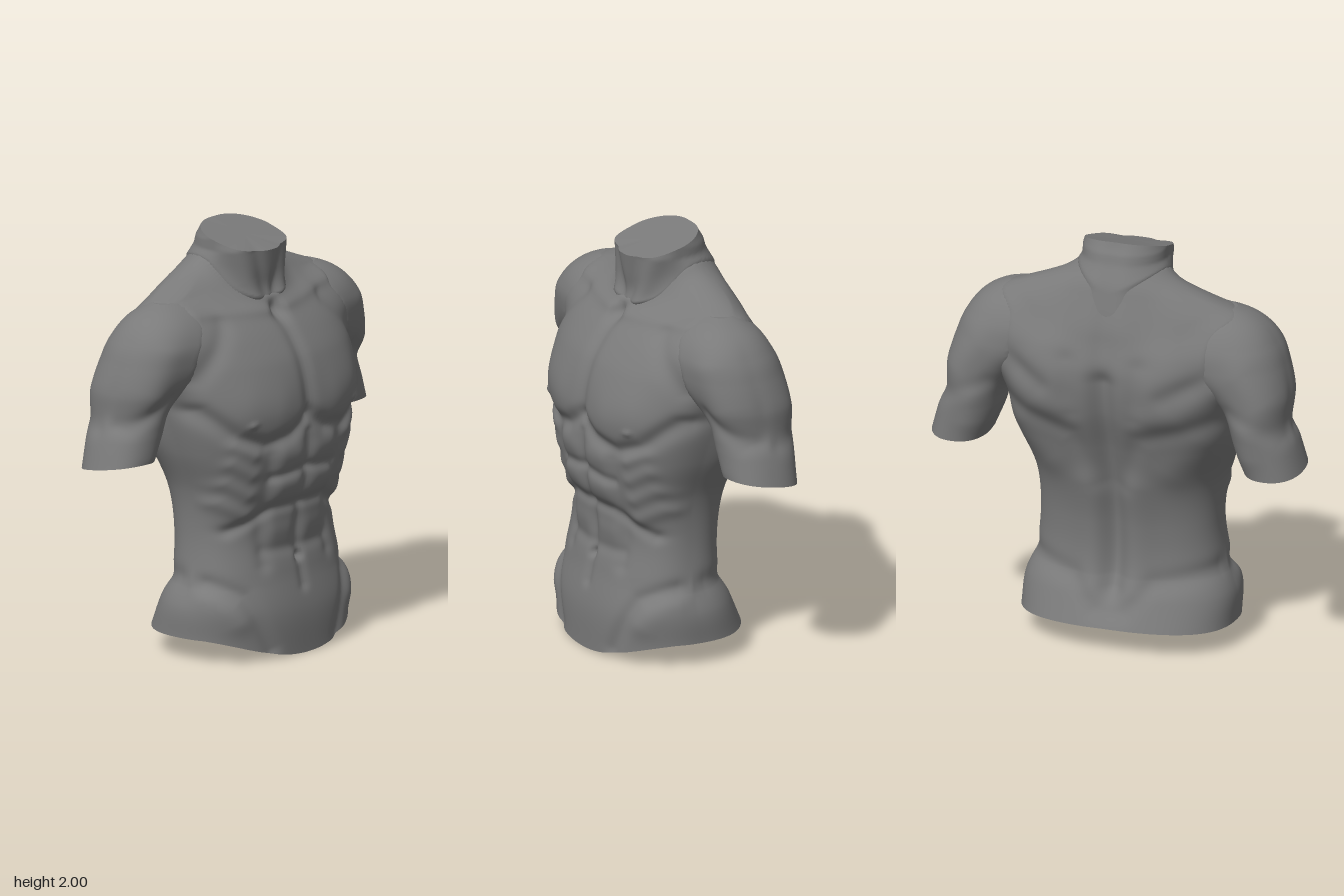
import * as THREE from 'three';

const { clamp, lerp, smoothstep } = THREE.MathUtils;

// Distance from (x, y) to a polyline given as [x, y, x, y, ...]
function pathDistance(x, y, p) {
  if (p.length === 2) return Math.hypot(x - p[0], y - p[1]);
  let best = Infinity;
  for (let i = 0; i + 3 < p.length; i += 2) {
    const dx = p[i + 2] - p[i], dy = p[i + 3] - p[i + 1];
    const t = clamp(((x - p[i]) * dx + (y - p[i + 1]) * dy) / (dx * dx + dy * dy), 0, 1);
    best = Math.min(best, Math.hypot(x - p[i] - dx * t, y - p[i + 1] - dy * t));
  }
  return best;
}

// Sum of muscle ridges (+) and grooves (-), mirrored in x
function relief(strokes, x, y) {
  let sum = 0;
  for (const { height, radius, path } of strokes) {
    const d = pathDistance(Math.abs(x), y, path) / radius;
    if (d < 3) sum += height * Math.exp(-d * d);
  }
  return sum;
}

const stroke = (height, radius, ...path) => ({ height, radius, path });

// A part's rows are [y, halfWidth, zFront, zBack, xMiddle]
function definePart(part) {
  const { rows } = part;
  const curve = new THREE.CubicInterpolant(rows.map(r => r[0]), rows.flatMap(r => r.slice(1)), rows[0].length - 1);
  return { side: 1, ...part, curve, y0: rows[0][0], y1: rows[rows.length - 1][0] };
}

function section({ curve, side, y0, y1 }, y) {
  const [w, zFront, zBack, xMiddle = 0] = curve.evaluate(clamp(y, y0, y1));
  return { w, cx: side * xMiddle, cz: (zFront + zBack) / 2, depth: (zFront - zBack) / 2 };
}

// Approximate signed distance to a part
function distance(part, x, y, z) {
  const { w, cx, cz, depth } = section(part, y), n = part.squareness(y, z < cz);
  const rho = Math.pow(Math.pow(Math.abs(x - cx) / w, n) + Math.pow(Math.abs(z - cz) / depth, n), 1 / n);
  return Math.max((rho - 1) * Math.min(w, depth), y - part.y1, part.y0 - y);
}

// Swelling that rounds off the seams with the neighbouring parts above the armpits
function fillet(neighbours, x, y, z) {
  const size = .1;
  let sum = 0;
  for (const other of neighbours) sum += Math.max(0, 1 - Math.abs(distance(other, x, y, z)) / size) ** 2;
  return sum * size / 4 * smoothstep(y, 1.2, 1.4);
}

function loft(part, neighbours, material) {
  const { rings, sides, y0, y1 } = part;
  const pos = [], index = [];
  for (let i = 0; i <= rings; i++) {
    const y = y0 + (y1 - y0) * i / rings;
    const { w, cx, cz, depth } = section(part, y);
    for (let j = 0; j < sides; j++) {
      const a = j / sides * Math.PI * 2, c = Math.cos(a), s = Math.sin(a);
      const n = part.squareness(y, s < 0);
      const r = Math.pow(Math.pow(Math.abs(c), n) + Math.pow(Math.abs(s), n), -1 / n);
      const x = cx + w * r * c, z = cz + depth * r * s;
      const yy = part.warpY(y, x, z);
      // push along the section's own normal, the relief fading out at the flanks
      const nx = Math.sign(c) * Math.pow(Math.abs(c), n - 1) / w;
      const nz = Math.sign(s) * Math.pow(Math.abs(s), n - 1) / depth;
      const muscle = relief(s > 0 ? part.front : part.back, x, yy) * clamp(Math.abs(s) * 4, 0, 1);
      const push = (muscle + fillet(neighbours, x, yy, z)) / Math.hypot(nx, nz);
      pos.push(x + nx * push, yy, z + nz * push);
    }
  }
  for (let i = 0; i < rings; i++) {
    for (let j = 0; j < sides; j++) {
      const a = i * sides + j, b = i * sides + (j + 1) % sides;
      index.push(a, a + sides, b, b, a + sides, b + sides);
    }
  }
  // Cut faces, on their own vertices so that the rim stays sharp
  for (const top of [false, true]) {
    const from = (top ? rings * sides : 0) * 3;
    const rim = pos.slice(from, from + sides * 3);
    const base = pos.length / 3, middle = [0, 0, 0];
    rim.forEach((v, i) => { middle[i % 3] += v / sides; });
    pos.push(...rim, ...middle);
    for (let j = 0; j < sides; j++) {
      const a = base + j, b = base + (j + 1) % sides;
      index.push(base + sides, top ? b : a, top ? a : b);
    }
  }
  const geometry = new THREE.BufferGeometry();
  geometry.setAttribute('position', new THREE.Float32BufferAttribute(pos, 3));
  geometry.setIndex(index);
  geometry.computeVertexNormals();
  const mesh = new THREE.Mesh(geometry, material);
  mesh.name = part.name;
  return mesh;
}

const chest = [
  stroke(.02, .13, .22, 1.2, .34, 1.22),
  stroke(-.024, .038, 0, 1.14, .12, 1.07, .28, 1.04, .42, 1.09, .55, 1.22), // lower edge
  stroke(-.018, .04, 0, 1.16, 0, 1.58),             // breastbone
  stroke(-.014, .04, .36, 1.6, .56, 1.38),
  stroke(.012, .016, .355, 1.15),                   // nipple
  stroke(.016, .028, .06, 1.63, .5, 1.67),          // collarbone
  stroke(-.035, .04, 0, 1.61)
];

const belly = [
  stroke(-.012, .028, 0, .32, 0, 1.06),             // centre line
  stroke(-.012, .025, 0, .895, .22, .87),
  stroke(-.018, .03, 0, .715, .18, .715, .38, .62),
  stroke(-.007, .03, 0, .5, .22, .51),
  stroke(-.012, .04, .24, .98, .23, .45),           // outer edge
  stroke(-.028, .02, 0, .45),                       // navel
  stroke(-.018, .04, .46, .37, .36, .31, .24, .05), // groin
  stroke(.012, .06, .46, .3, .4, .2)
];
for (const y of [.97, .82, .6]) belly.push(stroke(.014, .06, .08, y, .16, y));
for (let i = 0; i < 4; i++) belly.push(stroke(.012, .035, .33, .7 + i * .1, .42, .76 + i * .1)); // ribs

const backMuscles = [
  stroke(-.035, .06, 0, .3, 0, 1.35),               // spine
  stroke(-.018, .06, 0, .2, 0, 1.75),
  stroke(.014, .08, .11, .3, .12, .8),
  stroke(.022, .13, .28, 1.36, .34, 1.44),          // shoulder blade
  stroke(.014, .07, .2, 1.2, .36, 1.22, .52, 1.34),
  stroke(-.012, .05, .16, 1.2, .18, 1.45),
  stroke(-.012, .05, .3, 1.32, .5, 1.42),
  stroke(-.01, .05, .06, .82, .16, 1.08, .5, 1.18),
  stroke(.014, .09, .3, .9, .44, 1.06),             // broad back muscle
  stroke(-.013, .05, .08, .2, .2, .33, .46, .38)    // hip crest
];

// Trunk, its lower cut rising towards the flanks and the back
const trunk = definePart({
  name: 'trunk', rings: 180, sides: 184, front: [...chest, ...belly], back: backMuscles,
  rows: [
    [0, .52, .385, -.335], [.2, .515, .38, -.275], [.4, .463, .34, -.22], [.6, .44, .312, -.22],
    [.8, .457, .362, -.26], [1, .525, .385, -.315], [1.2, .57, .392, -.38], [1.4, .59, .348, -.398],
    [1.5, .6, .29, -.38], [1.6, .605, .21, -.345], [1.68, .58, .125, -.315],
    [1.74, .465, .07, -.293], [1.82, .285, .03, -.258], [1.9, .13, .02, -.18]
  ],
  squareness: (y, behind) => 2.4 - .5 * smoothstep(y, 1.5, 1.72)
    + (behind ? .5 : .1) * Math.exp(-(((y - 1.2) / .25) ** 2)),
  warpY: (y, x, z) => {
    const rise = .12 * (1 - Math.pow(clamp((z + .33) / .715, 0, 1), 1.7));
    return y + lerp(rise, .11, clamp((x / .5) ** 2, 0, 1)) * Math.max(0, 1 - y / .35);
  }
});

// Neck, its upper cut rising towards the back
const neck = definePart({
  name: 'neck', rings: 48, sides: 96,
  rows: [[1.5, .23, .06, -.29], [1.6, .225, .11, -.32], [1.75, .2, .145, -.27], [1.9, .2, .165, -.2]],
  front: [stroke(.016, .035, .17, 1.9, .12, 1.76, .05, 1.62), stroke(-.012, .03, .09, 1.9, .02, 1.66)],
  back: [stroke(-.01, .05, 0, 1.6, 0, 1.96)],
  squareness: () => 2.2,
  warpY: (y, x, z) => y + (.045 - .27 * z) * smoothstep(y, 1.6, 1.9)
});

// Upper arm with its shoulder, the stump sloping down to the back
const arm = {
  rings: 90, sides: 80,
  rows: [
    [.97, .142, .04, -.3, .778], [1.1, .15, .048, -.308, .732], [1.2, .146, .062, -.318, .7],
    [1.32, .18, .105, -.315, .66], [1.45, .225, .138, -.305, .585], [1.55, .22, .138, -.28, .55],
    [1.64, .165, .09, -.215, .525], [1.69, .1, .02, -.14, .5], [1.71, .06, -.03, -.11, .48]
  ],
  front: [
    stroke(.012, .07, .72, 1.02, .7, 1.16),         // biceps
    stroke(-.012, .035, .84, 1.17, .66, 1.3),
    stroke(.01, .07, .7, 1.52, .77, 1.34)
  ],
  back: [
    stroke(.012, .07, .7, 1.05, .7, 1.18),          // triceps
    stroke(-.01, .045, .85, 1.15, .6, 1.26),
    stroke(.012, .08, .66, 1.45, .76, 1.32)
  ],
  squareness: () => 2.25,
  warpY: (y, x, z) => y + .16 * (z + .13) * Math.max(0, 1 - (y - .97) / .15)
};
const leftArm = definePart({ ...arm, name: 'leftArm' });
const rightArm = definePart({ ...arm, name: 'rightArm', side: -1 });

export function createModel() {
  const group = new THREE.Group();
  group.name = 'torso';
  const material = new THREE.MeshStandardMaterial({ color: 0x7a7a7a });
  const limbs = [neck, leftArm, rightArm];
  group.add(loft(trunk, limbs, material));
  for (const limb of limbs) group.add(loft(limb, [trunk], material));
  return group;
}
